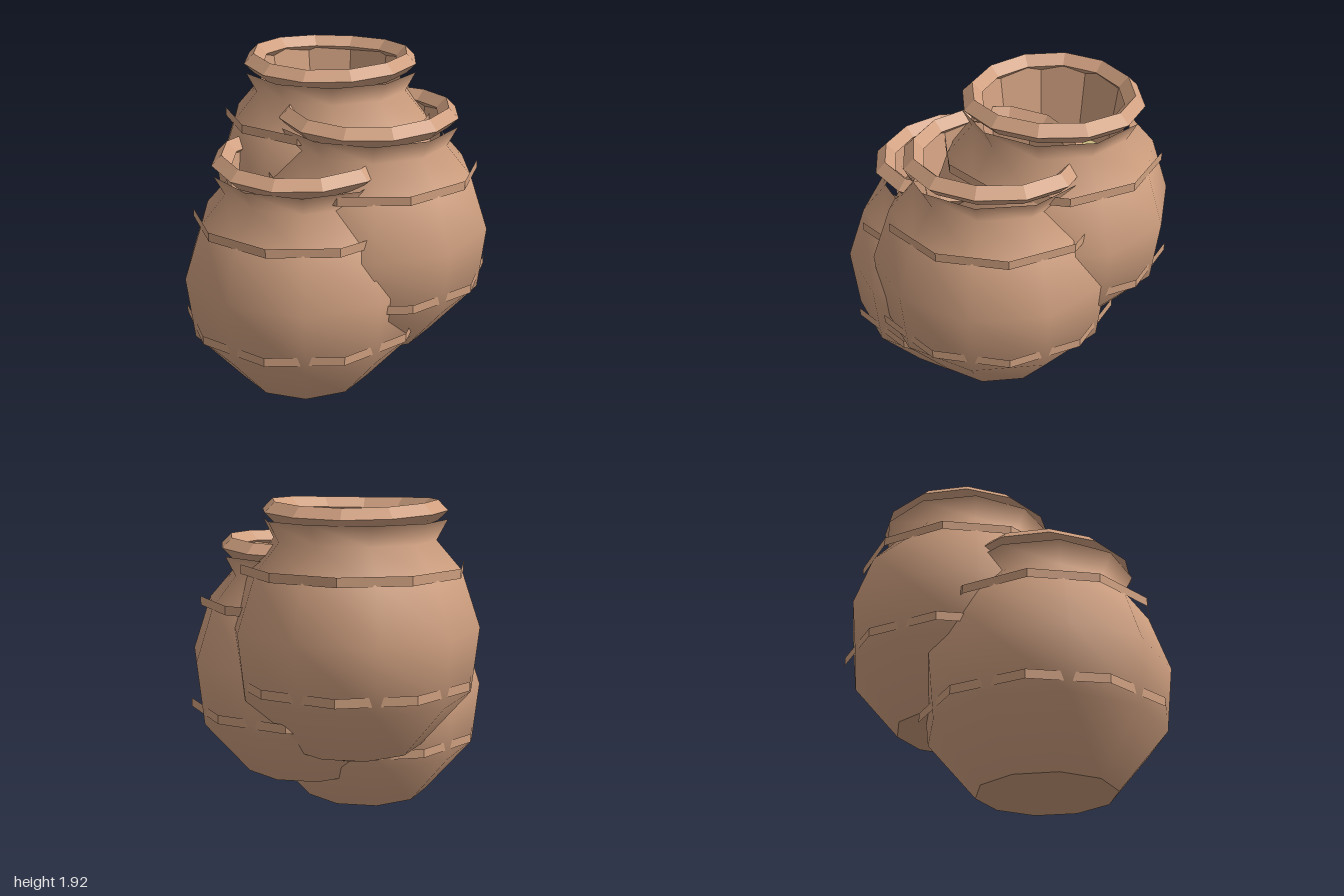
import * as THREE from 'three';

// Facet a geometry so each face keeps its own normal
function faceted(geometry) {
  const g = geometry.toNonIndexed();
  g.computeVertexNormals();
  return g;
}

export function createModel() {
  const clay = new THREE.MeshStandardMaterial({ color: 0xd0a080 });
  clay.name = 'clay';
  const grain = new THREE.MeshStandardMaterial({ color: 0xcdba80 });
  grain.name = 'grain';

  // Ten-sided smooth body: corners on the x axis
  const profile = [
    [0.407, 0], [0.695, 0.335], [0.737, 0.72], [0.625, 1.05], [0.477, 1.22], [0.54, 1.34],
  ].map(([r, y]) => new THREE.Vector2(r, y));
  const bodyGeo = new THREE.LatheGeometry(profile, 10, Math.PI / 2);
  const baseGeo = new THREE.CircleGeometry(0.407, 10).rotateX(Math.PI / 2);

  // Inner wall of the mouth, wound to face inwards
  const linerGeo = new THREE.CylinderGeometry(0.45, 0.39, 0.43, 10, 1, true);
  linerGeo.scale(-1, 1, 1).translate(0, 1.165, 0);
  const wallGeo = faceted(linerGeo);

  // Contents seen through the mouth
  const fillGeo = new THREE.CircleGeometry(0.39, 10, Math.PI / 2).rotateX(-Math.PI / 2);

  // Slightly uneven diamond-section rim
  const rimBase = new THREE.TorusGeometry(0.48, 0.06, 4, 12).rotateX(Math.PI / 2);
  const p = rimBase.attributes.position;
  for (let i = 0; i < p.count; i++) {
    const a = Math.atan2(p.getZ(i), p.getX(i));
    p.setY(i, p.getY(i) + 0.01 * Math.cos(2 * a));
  }
  const rimGeo = faceted(rimBase);

  // Open strips around shoulder and belly
  const band = (r) => faceted(new THREE.CylinderGeometry(r, r, 0.054, 10, 1, true));
  const shoulderGeo = band(0.66);
  const bellyGeo = band(0.73);

  function makePot(name, x, y, z) {
    const pot = new THREE.Group();
    pot.name = name;
    pot.position.set(x, y, z);
    const add = (part, geometry, material, height = 0) => {
      const mesh = new THREE.Mesh(geometry, material);
      mesh.name = part;
      mesh.position.y = height;
      pot.add(mesh);
    };
    add('body', bodyGeo, clay);
    add('base', baseGeo, clay);
    add('innerWall', wallGeo, clay);
    add('contents', fillGeo, grain, 0.95);
    add('rim', rimGeo, clay, 1.38);
    add('shoulderBand', shoulderGeo, clay, 1.057);
    add('bellyBand', bellyGeo, clay, 0.422);
    return pot;
  }

  // Three overlapping pots stepping up towards the back
  const group = new THREE.Group();
  group.name = 'potCluster';
  group.add(
    makePot('frontPot', -0.163, 0, 0.275),
    makePot('middlePot', 0.16, 0.235, 0),
    makePot('backPot', -0.163, 0.47, -0.28),
  );
  return group;
}
